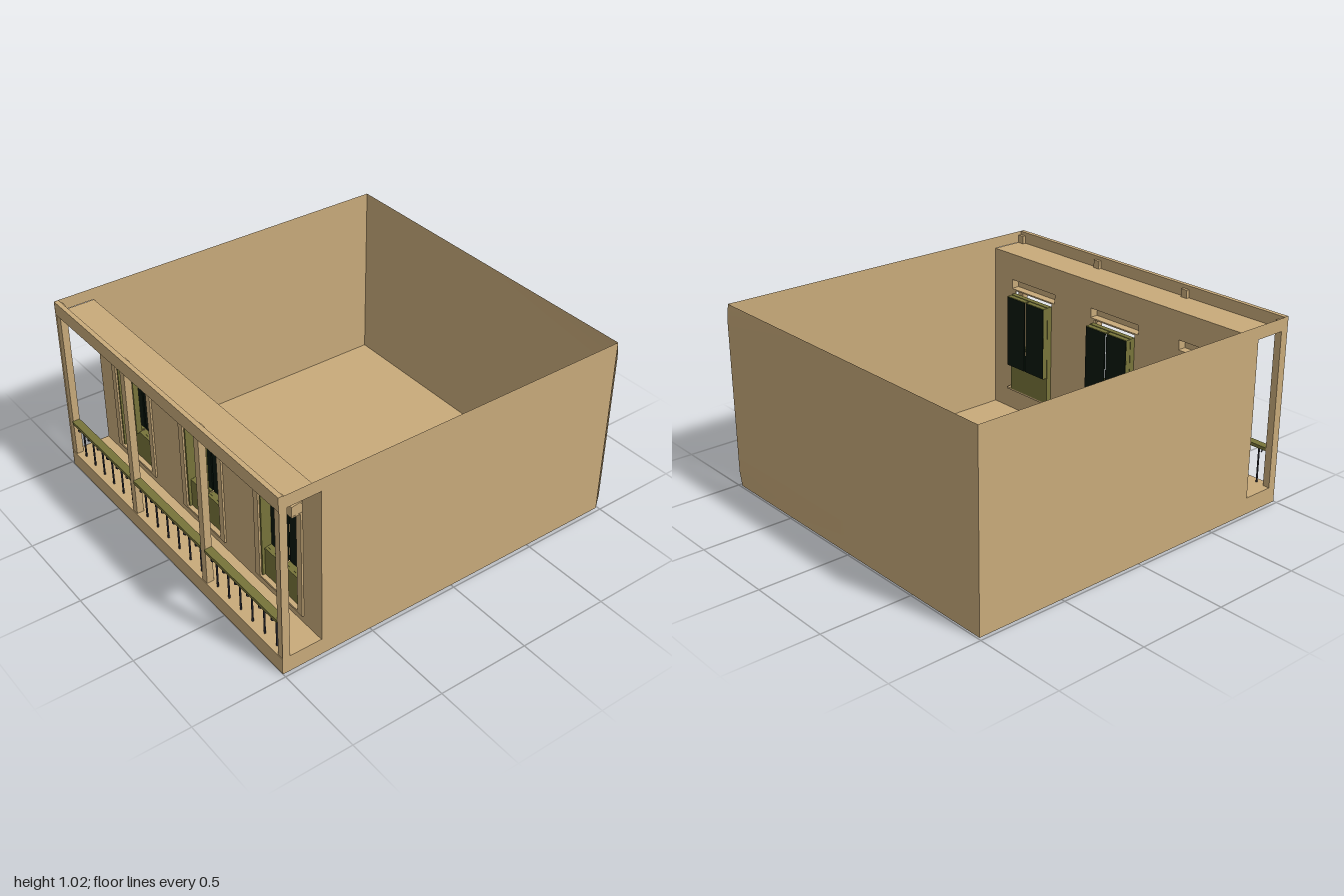
import * as THREE from 'three';

const mat = (name, color, side = THREE.FrontSide) => {
  const m = new THREE.MeshStandardMaterial({ color, side });
  m.name = name;
  return m;
};

export function createModel() {
  const plaster = mat('tan plaster', 0xc8aa7a, THREE.DoubleSide);
  const olive = mat('olive paint', 0x77743a);
  const glass = mat('dark green glass', 0x08180d);
  const iron = mat('dark iron', 0x2b2b33);
  const model = new THREE.Group();
  model.name = 'balconyRoom';

  const add = (parent, name, geometry, material) => {
    const m = new THREE.Mesh(geometry, material);
    m.name = name;
    parent.add(m);
    return m;
  };
  // Box given by its lower and upper corners
  const box = (parent, name, material, x0, x1, y0, y1, z0, z1) => {
    const m = add(parent, name, new THREE.BoxGeometry(x1 - x0, y1 - y0, z1 - z0), material);
    m.position.set((x0 + x1) / 2, (y0 + y1) / 2, (z0 + z1) / 2);
    return m;
  };
  const rect = (C, x0, x1, y0, y1) => new C([[x0, y0], [x1, y0], [x1, y1], [x0, y1]]
    .map(([x, y]) => new THREE.Vector2(x, y)));

  const Z = 0.98, TOP = 1.02, CEIL = 0.955, DECK = 0.09, WALL = -0.78, RIGHT = 0.99;
  const doorZ = [-0.65, 0, 0.65];

  // Front and back walls, each open at the end of the balcony
  for (const [name, z] of [['frontWall', Z], ['backWall', -Z]]) {
    const s = rect(THREE.Shape, -1, RIGHT, 0, TOP);
    s.holes.push(rect(THREE.Path, -0.96, WALL, DECK, CEIL));
    add(model, name, new THREE.ShapeGeometry(s), plaster).position.z = z;
  }

  // Right wall, bowed very slightly outward at its front end
  const right = new THREE.PlaneGeometry(2 * Z, TOP, 4, 12);
  right.rotateY(Math.PI / 2).translate(RIGHT, TOP / 2, 0);
  const p = right.attributes.position;
  for (let i = 0; i < p.count; i++) {
    const y = p.getY(i);
    if (p.getZ(i) > 0.9 && y > 0.05 && y < 0.97) p.setX(i, 1);
  }
  right.computeVertexNormals();
  add(model, 'rightWall', right, plaster);

  // Room floor
  const floor = new THREE.PlaneGeometry(1 + RIGHT, 2 * Z).rotateX(-Math.PI / 2);
  add(model, 'floor', floor, plaster).position.x = (RIGHT - 1) / 2;

  // Inner wall with three door openings
  const inner = rect(THREE.Shape, -Z, Z, 0, CEIL);
  for (const z of doorZ) inner.holes.push(rect(THREE.Path, z - 0.18, z + 0.18, 0.14, 0.81));
  add(model, 'innerWall', new THREE.ShapeGeometry(inner).rotateY(-Math.PI / 2), plaster).position.x = WALL;

  // Balcony deck, ceiling, edge beam and posts
  box(model, 'balconyDeck', plaster, -1, WALL - 0.002, 0.002, DECK, -Z + 0.002, Z - 0.002);
  box(model, 'balconyCeiling', plaster, -0.985, WALL, CEIL - 0.006, CEIL, -Z + 0.002, Z - 0.002);
  box(model, 'edgeBeam', plaster, -1, -0.975, CEIL - 0.01, TOP, -Z + 0.002, Z - 0.002);
  const postZ = [-0.958, -0.327, 0.327, 0.958];
  for (const z of postZ) box(model, 'post', plaster, -0.995, -0.957, DECK, 1.0, z - 0.02, z + 0.02);

  // Railing: olive handrail on iron balusters with curled tops
  const railing = new THREE.Group();
  railing.name = 'railing';
  model.add(railing);
  const curl = new THREE.TorusGeometry(0.013, 0.0035, 6, 10, Math.PI * 1.5);
  const rod = new THREE.CylinderGeometry(0.005, 0.005, 0.2, 6);
  for (let s = 0; s < 3; s++) {
    const a = postZ[s] + 0.02, b = postZ[s + 1] - 0.02;
    box(railing, 'handrail', olive, -1, -0.957, 0.285, 0.303, a, b);
    for (let i = 0; i < 6; i++) {
      const z = a + (b - a) * (i + 0.5) / 6;
      add(railing, 'baluster', rod, iron).position.set(-0.966, DECK + 0.1, z);
      add(railing, 'balusterCurl', curl, iron).position.set(-0.981, 0.269, z);
    }
  }

  // Hollow cornice profile, open toward the room
  const corniceShape = new THREE.Shape([[-0.78, 0.74], [-0.838, 0.74], [-0.838, 0.8], [-0.78, 0.81],
    [-0.78, 0.802], [-0.83, 0.792], [-0.83, 0.748], [-0.78, 0.748]].map(([x, y]) => new THREE.Vector2(x, y)));
  const cornice = new THREE.ExtrudeGeometry(corniceShape, { depth: 0.38, bevelEnabled: false });

  // Double doors with their tan surrounds
  for (const z of doorZ) {
    const door = new THREE.Group();
    door.name = 'door';
    door.position.z = z;
    model.add(door);
    add(door, 'cornice', cornice, plaster).position.z = -0.19;
    for (const s of [-1, 1]) {
      const span = (a, b) => s > 0 ? [a, b] : [-b, -a];
      box(door, 'corniceEnd', plaster, -0.836, WALL, 0.742, 0.798, ...span(0.183, 0.189));
      box(door, 'surround', plaster, -0.79, WALL, 0.14, 0.745, ...span(0.153, 0.19));
      box(door, 'casing', olive, WALL, -0.75, 0.14, 0.725, ...span(0.143, 0.155));
      box(door, 'leafSide', olive, -0.75, -0.722, 0.3, 0.72, ...span(0.145, 0.153));
      box(door, 'leafTop', olive, -0.75, -0.72, 0.714, 0.722, ...span(0.006, 0.153));
      box(door, 'leafBottom', olive, -0.75, -0.722, 0.298, 0.306, ...span(0.006, 0.153));
      box(door, 'leafGlass', glass, -0.724, -0.718, 0.302, 0.718, ...span(0.005, 0.152));
    }
    box(door, 'casingTop', olive, WALL, -0.75, 0.714, 0.725, -0.155, 0.155);
    box(door, 'mullion', olive, WALL, -0.75, 0.3, 0.72, -0.006, 0.006);
    box(door, 'lowerPanel', olive, -0.765, -0.75, 0.14, 0.305, -0.143, 0.143);
    box(door, 'sill', plaster, -0.79, -0.75, 0.13, 0.142, -0.19, 0.19);
  }
  return model;
}
